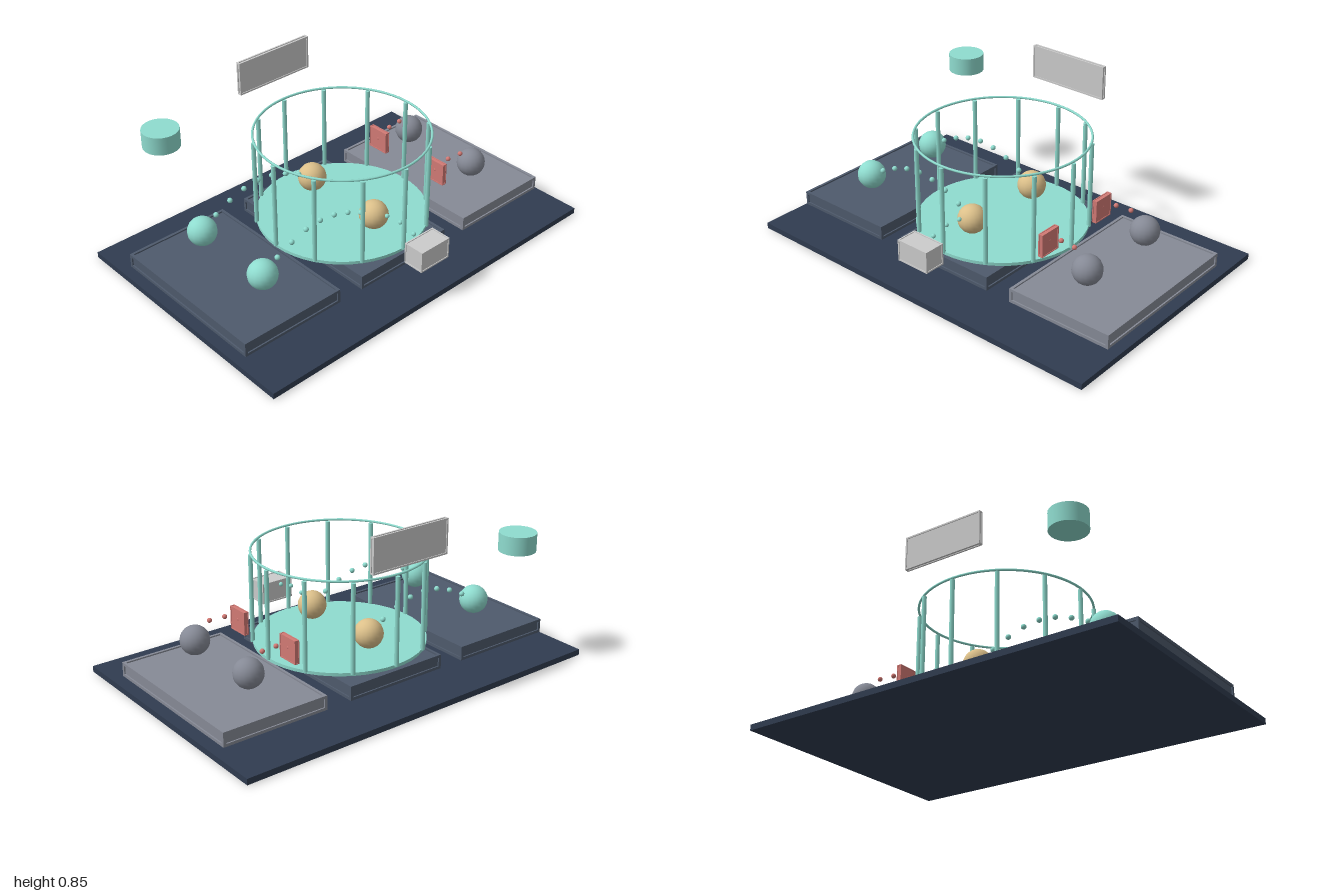
import * as THREE from 'three';

const TEAL = 0x8fdccf, SLATE = 0x4e5a6c, GREY = 0x868a96, RED = 0xd27a75,
  GOLD = 0xdcc08a, PALE = 0xcccccc, NAVY = 0x303c50;

export function createModel() {
  const root = new THREE.Group();
  const materials = new Map();
  const material = (color) => {
    if (!materials.has(color)) materials.set(color, new THREE.MeshStandardMaterial({ color }));
    return materials.get(color);
  };
  const add = (name, geometry, color, [x, y, z], parent = root) => {
    const mesh = new THREE.Mesh(geometry, material(color));
    mesh.name = name;
    mesh.position.set(x, y, z);
    parent.add(mesh);
    return mesh;
  };
  const ball = (name, r, color, pos) => add(name, new THREE.SphereGeometry(r, 18, 12), color, pos);

  // Box with a square bar along each of its twelve edges; size is the outer size
  const framedBox = (name, size, bar, color, pos) => {
    const group = new THREE.Group();
    group.name = name;
    group.position.set(...pos);
    const inner = size.map((s) => s - bar);
    add('panel', new THREE.BoxGeometry(...inner), color, [0, 0, 0], group);
    for (let axis = 0; axis < 3; axis++) {
      const dims = [bar, bar, bar];
      dims[axis] = size[axis];
      const b = (axis + 1) % 3, c = (axis + 2) % 3;
      for (const sb of [-1, 1]) for (const sc of [-1, 1]) {
        const p = [0, 0, 0];
        p[b] = sb * inner[b] / 2;
        p[c] = sc * inner[c] / 2;
        add('edgeBar', new THREE.BoxGeometry(...dims), color, p, group);
      }
    }
    root.add(group);
  };

  // Ground slab and the three floating trays
  add('baseSlab', new THREE.BoxGeometry(2, 0.03, 1.33), NAVY, [0, 0.015, 0]);
  [['rightTray', -0.685, SLATE], ['middleTray', 0, SLATE], ['leftTray', 0.685, GREY]]
    .forEach(([name, x, color]) => framedBox(name, [0.55, 0.072, 0.865], 0.014, color, [x, 0.091, 0]));

  // Round cage: floor disc, twelve posts and a thin top ring
  add('cageFloor', new THREE.CylinderGeometry(0.425, 0.425, 0.016, 48), TEAL, [0, 0.145, 0]);
  const ring = add('cageTopRing', new THREE.TorusGeometry(0.425, 0.006, 8, 64), TEAL, [0, 0.603, 0]);
  ring.rotation.x = Math.PI / 2;
  for (let i = 0; i < 12; i++) {
    const a = i * Math.PI / 6;
    add('cagePost', new THREE.CylinderGeometry(0.011, 0.011, 0.447, 8), TEAL,
      [0.425 * Math.sin(a), 0.37, 0.425 * Math.cos(a)]);
  }

  for (const s of [-1, 1]) {
    // Large balls above the trays
    ball('rightBall', 0.072, TEAL, [-0.685, 0.24, s * 0.222]);
    ball('middleBall', 0.072, GOLD, [0, 0.24, s * 0.222]);
    ball('leftBall', 0.072, GREY, [0.685, 0.24, s * 0.222]);

    // Arc of beads from the right ball to the middle ball
    for (let k = 1; k < 8; k++) {
      ball('arcBead', 0.013, TEAL,
        [-0.685 * (1 - k / 8), 0.24 + 0.13 * Math.sin(k * Math.PI / 8), s * 0.224]);
    }

    // Red gate and the beads leading to it
    framedBox('gate', [0.025, 0.117, 0.117], 0.005, RED, [0.447, 0.283, s * 0.202]);
    [[0.605, 0.32, 0.216], [0.525, 0.32, 0.209], [0.447, 0.29, 0.202]]
      .forEach(([x, y, z]) => ball('gateBead', 0.012, RED, [x, y, s * z]));
  }

  // Small box in front with its beads
  framedBox('frontBox', [0.18, 0.11, 0.11], 0.007, PALE, [0, 0.22, 0.575]);
  [[0.265, 0.488], [0.285, 0.4], [0.275, 0.312]]
    .forEach(([y, z]) => ball('frontBead', 0.011, TEAL, [0, y, z]));

  // Floating drum and sign panel at the back
  add('drum', new THREE.CylinderGeometry(0.091, 0.091, 0.092, 24), TEAL, [-0.685, 0.63, -0.5]);
  framedBox('signPanel', [0.434, 0.172, 0.024], 0.008, PALE, [0, 0.761, -0.5]);

  return root;
}
